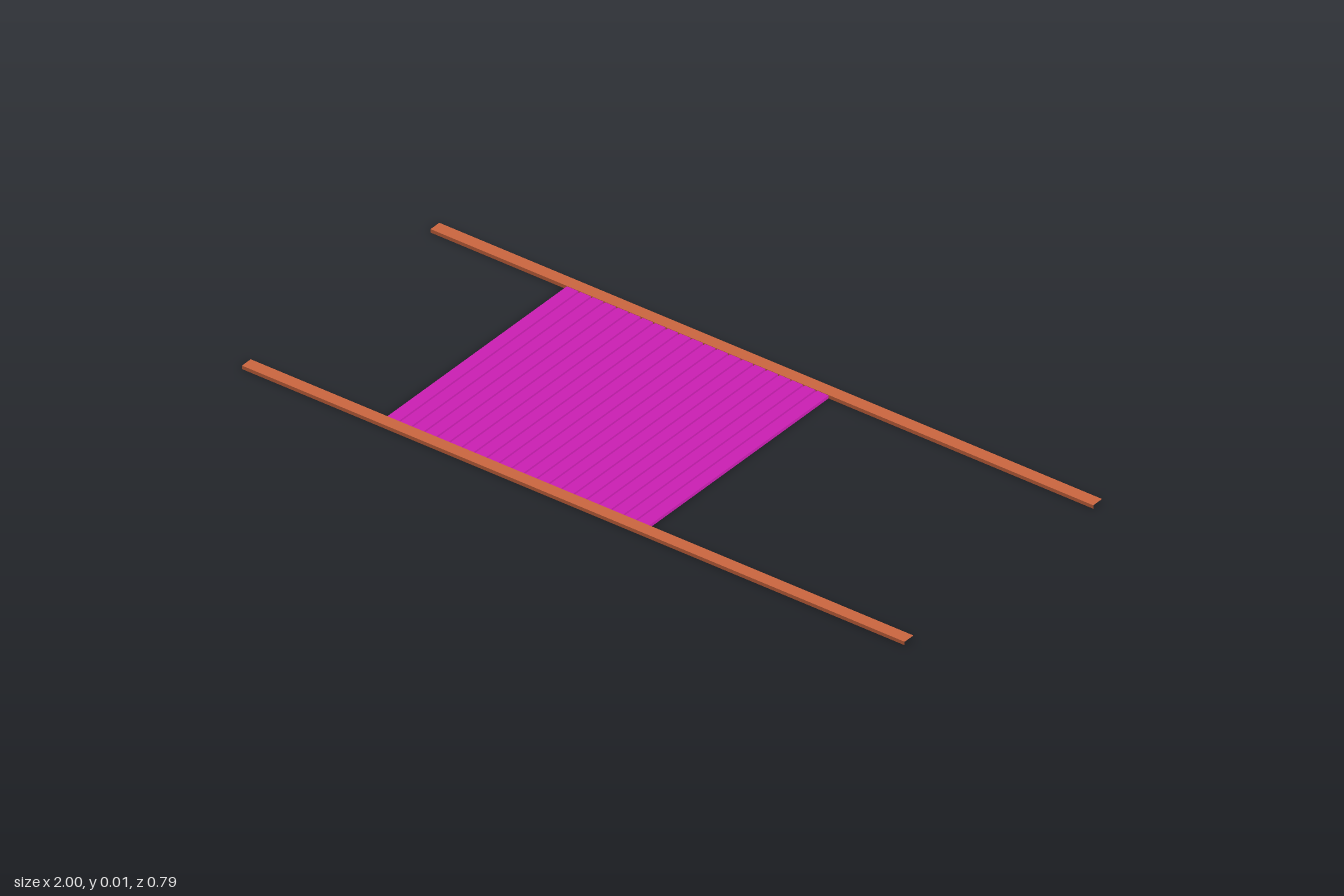
import * as THREE from 'three';

const HEIGHT = 0.01;

// Open-ended rectangular tube running along x
function makeRail(name, z, material) {
  const w = 0.035;
  const rail = new THREE.Group();
  rail.name = name;
  const sides = [
    ['top', w, HEIGHT / 2, 0, -Math.PI / 2],
    ['bottom', w, -HEIGHT / 2, 0, Math.PI / 2],
    ['frontWall', HEIGHT, 0, w / 2, 0],
    ['backWall', HEIGHT, 0, -w / 2, Math.PI],
  ];
  for (const [part, depth, y, dz, turn] of sides) {
    const wall = new THREE.Mesh(new THREE.PlaneGeometry(2, depth), material);
    wall.name = part;
    wall.rotation.x = turn;
    wall.position.set(0, y, dz);
    rail.add(wall);
  }
  rail.position.set(0, HEIGHT / 2, z);
  return rail;
}

// Ribbed sheet: cross-section with narrow grooves, extruded along z
function makePanel(material) {
  const x0 = -0.588, x1 = 0.202, ribs = 21, length = 0.714;
  const low = 0.001, groove = 0.004, top = HEIGHT - 0.0005, gap = 0.003;
  const pitch = (x1 - x0) / ribs;
  const shape = new THREE.Shape();
  shape.moveTo(x0, low);
  shape.lineTo(x1, low);
  for (let i = ribs - 1; i >= 0; i--) {
    const left = x0 + i * pitch, right = left + pitch;
    shape.lineTo(i === ribs - 1 ? right : right - gap, top);
    shape.lineTo(i === 0 ? left : left + gap, top);
    if (i > 0) {
      shape.lineTo(left + gap, groove);
      shape.lineTo(left - gap, groove);
    }
  }
  shape.closePath();
  const geometry = new THREE.ExtrudeGeometry(shape, { depth: length, bevelEnabled: false });
  geometry.translate(0, 0, -length / 2);
  const panel = new THREE.Mesh(geometry, material);
  panel.name = 'ribbedPanel';
  return panel;
}

export function createModel() {
  const model = new THREE.Group();
  model.name = 'panelOnRails';
  const railMaterial = new THREE.MeshStandardMaterial({ color: 0xcc6640 });
  const panelMaterial = new THREE.MeshStandardMaterial({ color: 0xcc1fb4 });

  model.add(makeRail('frontRail', 0.375, railMaterial));
  model.add(makeRail('backRail', -0.375, railMaterial));
  model.add(makePanel(panelMaterial));
  return model;
}
